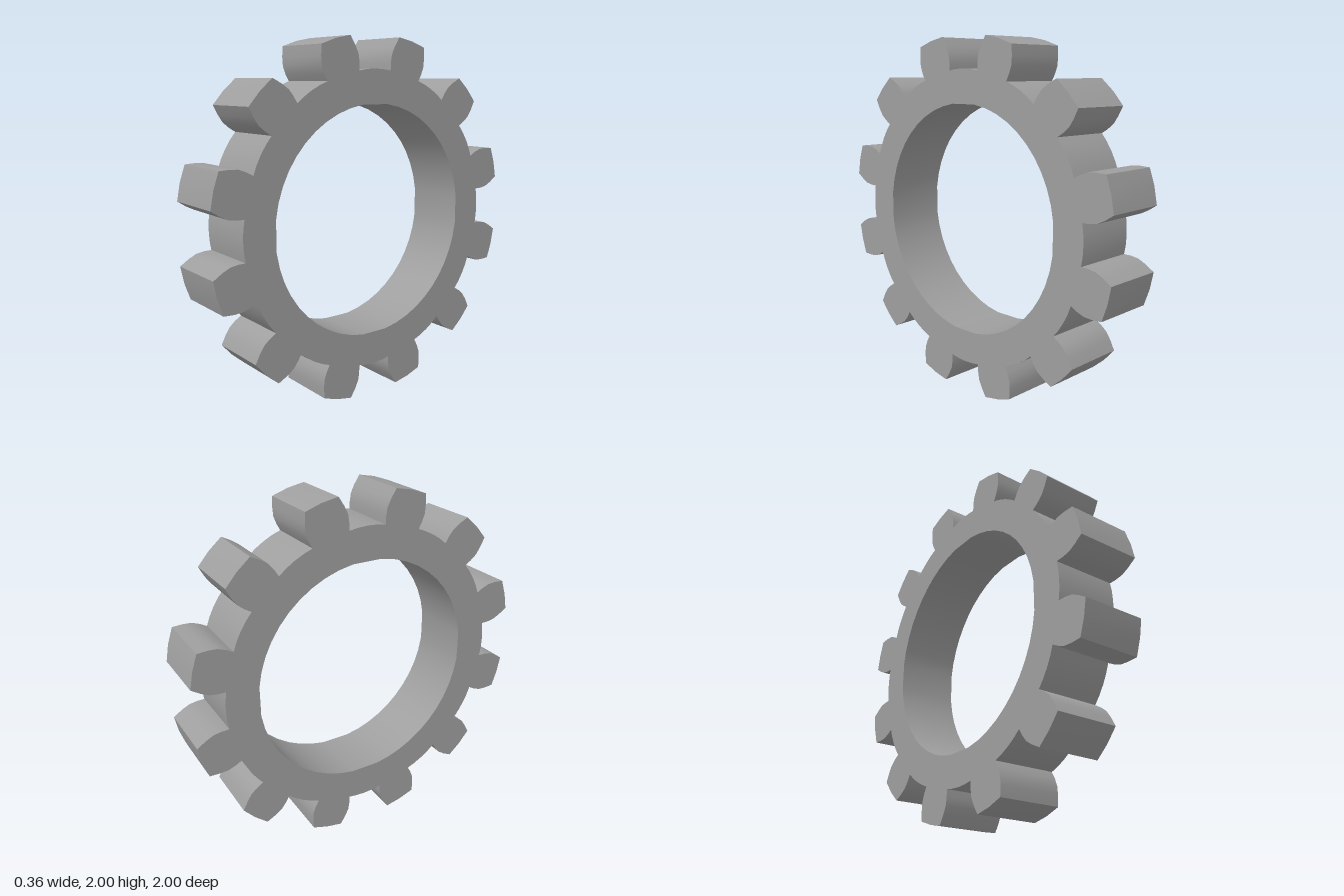
import * as THREE from 'three';
import { toCreasedNormals } from 'three/addons/utils/BufferGeometryUtils.js';

const TEETH = 12;
const WIDTH = 0.36;
const BORE = 0.648;

// One tooth and half a valley on each side: [degrees from tooth centre, radius]
const TOOTH = [
  [-15, 0.832], [-11, 0.831], [-7.5, 0.828],
  [-7.8, 0.87], [-7.7, 0.915], [-6.8, 0.96], [-5.4, 1.014],
  [0, 1.016],
  [5.4, 1.014], [6.8, 0.96], [7.7, 0.915], [7.8, 0.87],
  [7.5, 0.828], [11, 0.831],
];

function polar(degrees, radius) {
  const a = THREE.MathUtils.degToRad(degrees);
  return new THREE.Vector2(Math.cos(a) * radius, Math.sin(a) * radius);
}

export function createModel() {
  const model = new THREE.Group();
  model.name = 'gearRing';

  // Toothed outline
  const outline = [];
  for (let i = 0; i < TEETH; i++) {
    for (const [angle, radius] of TOOTH) outline.push(polar(15 + i * 360 / TEETH + angle, radius));
  }
  const shape = new THREE.Shape(outline);

  // Wide central bore, with a short flat at the top, bottom, front and back
  const bore = [];
  for (let quarter = 0; quarter < 4; quarter++) {
    for (let angle = 7.5; angle < 90; angle += 7.5) bore.push(polar(quarter * 90 + angle, BORE));
  }
  shape.holes.push(new THREE.Path(bore));

  // Extrude, then turn the axle along x
  const geometry = new THREE.ExtrudeGeometry(shape, { depth: WIDTH, bevelEnabled: false });
  geometry.translate(0, 0, -WIDTH / 2);
  geometry.rotateY(Math.PI / 2);

  // Mid-grey metal
  const gear = new THREE.Mesh(
    toCreasedNormals(geometry, THREE.MathUtils.degToRad(32)),
    new THREE.MeshStandardMaterial({ color: 0x9e9e9e })
  );
  gear.name = 'toothedRing';
  gear.position.y = 1;
  model.add(gear);
  return model;
}
